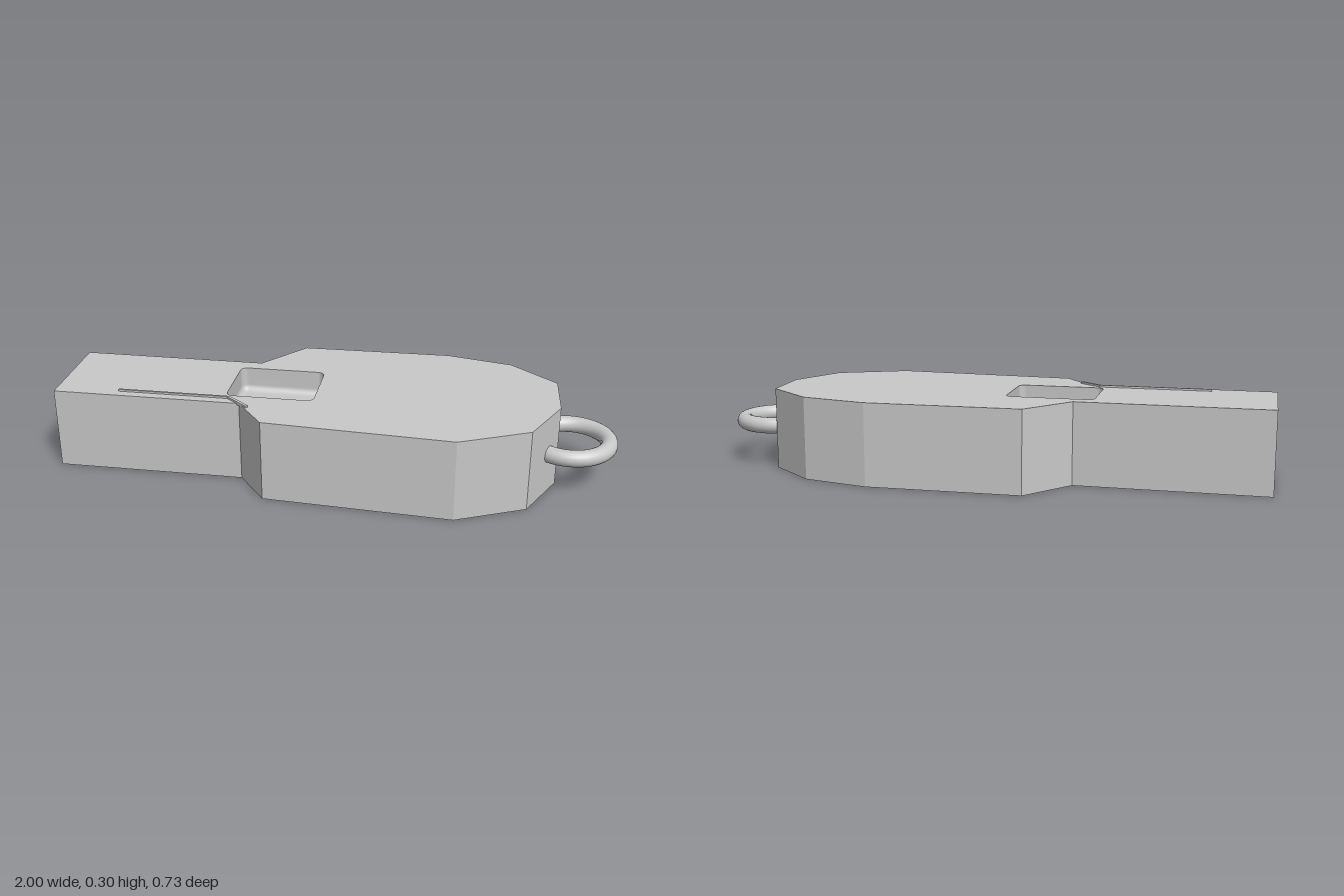
import * as THREE from 'three';
import { mergeGeometries } from 'three/addons/utils/BufferGeometryUtils.js';

const H = 0.295;
// Plan outline as [x, z]; the last edge is the mouthpiece end
const OUTLINE = [
  [-1, -0.183], [-0.32, -0.183], [-0.18, -0.36], [0.37, -0.368], [0.61, -0.313], [0.78, -0.168],
  [0.79, 0.045], [0.693, 0.25], [0.45, 0.362], [-0.217, 0.32], [-0.322, 0.183], [-1, 0.183],
];

// Counter-clockwise rounded rectangle
function roundedRect(hw, hh, r) {
  const pts = [];
  for (let q = 0; q < 4; q++) {
    const sx = q === 0 || q === 3 ? 1 : -1, sy = q < 2 ? 1 : -1;
    for (let k = 0; k <= 6; k++) {
      const a = (q + k / 6) * Math.PI / 2;
      pts.push(new THREE.Vector2(sx * (hw - r) + r * Math.cos(a), sy * (hh - r) + r * Math.sin(a)));
    }
  }
  return pts;
}

// Recess opening towards +z, with rounded floor edges
function pocket(hw, hh, r, fillet, depth) {
  const pos = [], idx = [], levels = [[0, 0]];
  for (let k = 0; k <= 6; k++) {
    const a = k / 6 * Math.PI / 2;
    levels.push([fillet * (1 - Math.cos(a)), -depth + fillet * (1 - Math.sin(a))]);
  }
  let n = 0;
  levels.forEach(([inset, z]) => {
    const ring = roundedRect(hw - inset, hh - inset, r - inset);
    n = ring.length;
    ring.forEach(p => pos.push(p.x, p.y, z));
  });
  const last = levels.length - 1, centre = levels.length * n;
  pos.push(0, 0, -depth);
  for (let i = 0; i < n; i++) {
    const i2 = (i + 1) % n;
    for (let j = 0; j < last; j++) {
      const a = j * n + i, b = j * n + i2;
      idx.push(a, b, a + n, b, b + n, a + n);
    }
    idx.push(centre, last * n + i, last * n + i2);
  }
  const g = new THREE.BufferGeometry();
  g.setAttribute('position', new THREE.Float32BufferAttribute(pos, 3));
  g.setIndex(idx);
  g.computeVertexNormals();
  return g;
}

export function createModel() {
  const model = new THREE.Group();
  model.name = 'whistle';
  const grey = new THREE.MeshStandardMaterial({ color: 0xc8c8c8 });
  grey.name = 'light grey';
  const add = (name, geometry, parent = model) => {
    const mesh = new THREE.Mesh(geometry, grey);
    mesh.name = name;
    parent.add(mesh);
    return mesh;
  };

  const body = new THREE.Group();
  body.name = 'body';
  model.add(body);

  // Side walls
  const walls = [];
  for (let i = 0; i < OUTLINE.length - 1; i++) {
    const [x1, z1] = OUTLINE[i], [x2, z2] = OUTLINE[i + 1];
    const dx = x2 - x1, dz = z2 - z1;
    walls.push(new THREE.PlaneGeometry(Math.hypot(dx, dz), H)
      .rotateY(Math.atan2(dz, -dx))
      .translate((x1 + x2) / 2, H / 2, (z1 + z2) / 2));
  }
  add('sideWalls', mergeGeometries(walls), body);

  // Top with the air window, and the flat underside
  const win = { x: -0.227, z: -0.004, hw: 0.157, hh: 0.125, r: 0.025 };
  const top = new THREE.Shape(OUTLINE.map(([x, z]) => new THREE.Vector2(x, -z)));
  top.holes.push(new THREE.Path(roundedRect(win.hw, win.hh, win.r)
    .map(p => new THREE.Vector2(p.x + win.x, p.y - win.z))));
  add('topFace', new THREE.ShapeGeometry(top).rotateX(-Math.PI / 2).translate(0, H, 0), body);
  const bottom = new THREE.Shape(OUTLINE.map(([x, z]) => new THREE.Vector2(x, z)));
  add('underside', new THREE.ShapeGeometry(bottom).rotateX(Math.PI / 2), body);
  add('airWindow', pocket(win.hw, win.hh, win.r, 0.024, 0.09)
    .rotateX(-Math.PI / 2).translate(win.x, H, win.z), body);

  // Mouthpiece end with the blowing slot
  const slotHW = 0.117, slotHH = 0.056, slotY = 0.148;
  const end = new THREE.Shape([[-0.183, 0], [0.183, 0], [0.183, H], [-0.183, H]]
    .map(([u, y]) => new THREE.Vector2(u, y)));
  end.holes.push(new THREE.Path(roundedRect(slotHW, slotHH, 0.02)
    .map(p => new THREE.Vector2(p.x, p.y + slotY))));
  add('mouthpieceEnd', new THREE.ShapeGeometry(end).rotateY(-Math.PI / 2).translate(-1, 0, 0), body);
  add('blowingSlot', pocket(slotHW, slotHH, 0.02, 0.019, 0.3)
    .rotateY(-Math.PI / 2).translate(-1, slotY, 0), body);

  // Thin raised rib: a straight run and a short diagonal
  const rib = new THREE.Shape([
    [-0.77, -0.141], [-0.77, -0.149], [-0.372, -0.149], [-0.291, -0.215], [-0.284, -0.207], [-0.366, -0.141],
  ].map(([x, y]) => new THREE.Vector2(x, y)));
  add('raisedRib', new THREE.ExtrudeGeometry(rib, { depth: 0.012, bevelEnabled: false })
    .rotateX(-Math.PI / 2).translate(0, 0.29, 0));

  // Lanyard ring
  const ring = add('lanyardRing', new THREE.TorusGeometry(0.138, 0.03, 20, 64).rotateX(Math.PI / 2));
  ring.position.set(0.832, 0.15, 0);

  return model;
}
